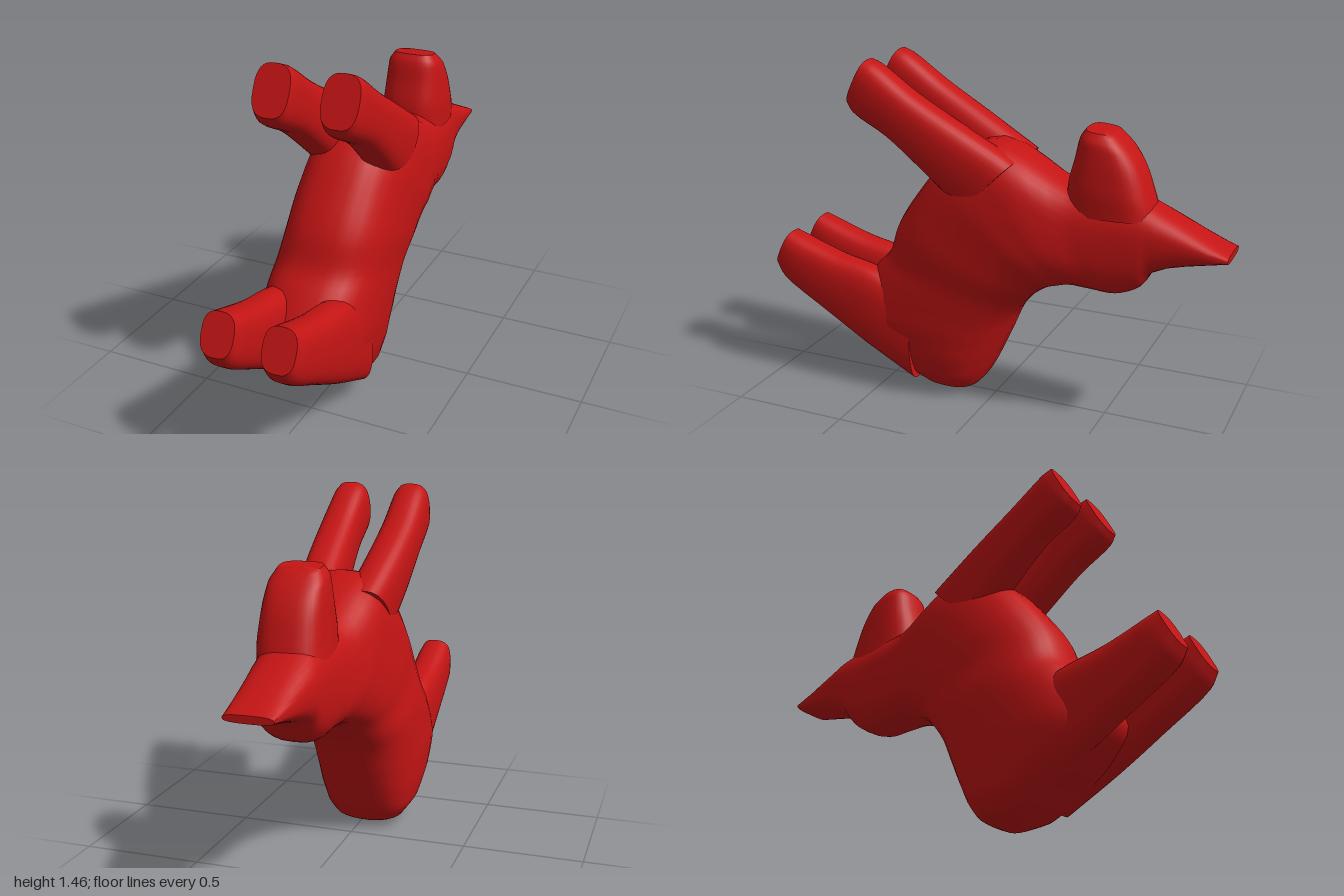
import * as THREE from 'three';
import { toCreasedNormals } from 'three/addons/utils/BufferGeometryUtils.js';

const material = new THREE.MeshStandardMaterial({ color: 0xc41414 });

// Smooth loft. Each section: [z1, y1, z2, y2, centreX, halfWidth],
// where the two (z, y) points are opposite edges seen from the side.
function loft(name, sections, power = 2.8, sides = 32, steps = 4) {
  const curve = (f) => new THREE.CatmullRomCurve3(sections.map(f), false, 'centripetal');
  const edgeA = curve((s) => new THREE.Vector3(s[4], s[1], s[0]));
  const edgeB = curve((s) => new THREE.Vector3(s[4], s[3], s[2]));
  const widths = sections.map((s) => s[5]);
  const rows = (sections.length - 1) * steps;
  const pos = [], index = [];
  const soft = (v) => Math.sign(v) * Math.pow(Math.abs(v), 2 / power);

  for (let i = 0; i <= rows; i++) {
    const t = i / rows, k = Math.min(Math.floor(i / steps), widths.length - 2);
    const a = edgeA.getPoint(t), b = edgeB.getPoint(t);
    const mid = a.clone().add(b).multiplyScalar(0.5);
    const half = a.clone().sub(b).multiplyScalar(0.5);
    const w = THREE.MathUtils.lerp(widths[k], widths[k + 1], i / steps - k);
    for (let j = 0; j < sides; j++) {
      const ang = (j / sides) * Math.PI * 2;
      const u = soft(Math.sin(ang));
      pos.push(mid.x + soft(Math.cos(ang)) * w, mid.y + half.y * u, mid.z + half.z * u);
    }
    // Centre points for the two end caps
    if (i === 0 || i === rows) sections[i === 0 ? 0 : sections.length - 1].mid = mid;
  }
  for (let i = 0; i < rows; i++) {
    for (let j = 0; j < sides; j++) {
      const n = (j + 1) % sides;
      const a = i * sides + j, b = i * sides + n, c = a + sides, d = b + sides;
      index.push(a, c, b, b, c, d);
    }
  }
  const first = pos.length / 3, last = first + 1, top = rows * sides;
  pos.push(...sections[0].mid.toArray(), ...sections[sections.length - 1].mid.toArray());
  for (let j = 0; j < sides; j++) {
    const n = (j + 1) % sides;
    index.push(first, j, n, last, top + n, top + j);
  }
  const geo = new THREE.BufferGeometry();
  geo.setAttribute('position', new THREE.Float32BufferAttribute(pos, 3));
  geo.setIndex(index);
  const mesh = new THREE.Mesh(toCreasedNormals(geo, 0.8), material);
  mesh.name = name;
  return mesh;
}

export function createModel() {
  const group = new THREE.Group();
  group.name = 'toyAnimal';

  // Rump, torso, neck and the wedge at the back of the head
  group.add(loft('body', [
    [0.25, 0.004, 0.15, 0.004, -0.03, 0.05],
    [0.33, 0.05, 0.08, 0.04, -0.03, 0.145],
    [0.42, 0.11, 0.04, 0.10, -0.03, 0.19],
    [0.57, 0.21, -0.01, 0.20, -0.025, 0.215],
    [0.67, 0.34, -0.06, 0.31, -0.02, 0.227],
    [0.55, 0.54, -0.10, 0.40, -0.015, 0.227],
    [0.47, 0.63, -0.15, 0.47, -0.01, 0.225],
    [0.42, 0.76, -0.21, 0.53, 0.005, 0.222],
    [0.33, 0.90, -0.27, 0.57, 0.01, 0.22],
    [0.19, 1.06, -0.33, 0.59, 0.02, 0.215],
    [-0.02, 1.16, -0.38, 0.60, 0.025, 0.20],
    [-0.33, 1.02, -0.46, 0.595, 0.03, 0.16],
    [-0.50, 1.00, -0.56, 0.59, 0.03, 0.148],
    [-0.65, 0.98, -0.65, 0.63, 0.027, 0.14],
    [-0.72, 0.95, -0.70, 0.70, 0.025, 0.134],
    [-1.00, 0.82, -1.00, 0.79, 0.035, 0.097],
  ]));

  // Block rising from the head
  group.add(loft('headBlock', [
    [-0.34, 0.92, -0.70, 0.92, 0.035, 0.135],
    [-0.345, 1.04, -0.68, 0.99, 0.04, 0.132],
    [-0.37, 1.14, -0.635, 1.11, 0.04, 0.122],
    [-0.39, 1.225, -0.585, 1.185, 0.04, 0.11],
    [-0.41, 1.255, -0.53, 1.24, 0.04, 0.085],
  ], 3));

  // Legs, one pair at each end of the torso
  for (const side of [-1, 1]) {
    const label = side > 0 ? 'left' : 'right';
    const fx = side > 0 ? 0.162 : -0.115;
    const front = loft(label + 'FrontLeg', [
      [0.08, 0.88, -0.14, 1.10, fx - side * 0.03, 0.09],
      [0.23, 1.02, 0.09, 1.23, fx - side * 0.01, 0.088],
      [0.40, 1.16, 0.29, 1.345, fx, 0.084],
      [0.55, 1.245, 0.445, 1.45, fx, 0.082],
      [0.577, 1.285, 0.488, 1.468, fx, 0.074],
    ]);
    const hx = side > 0 ? 0.122 : -0.13;
    const hind = loft(label + 'HindLeg', [
      [0.32, 0.07, 0.33, 0.46, hx, 0.078],
      [0.56, 0.20, 0.50, 0.545, hx, 0.084],
      [0.75, 0.315, 0.70, 0.59, hx, 0.081],
      [0.96, 0.45, 0.87, 0.645, hx, 0.078],
      [0.998, 0.51, 0.925, 0.665, hx, 0.068],
    ]);
    group.add(front, hind);
  }
  return group;
}
